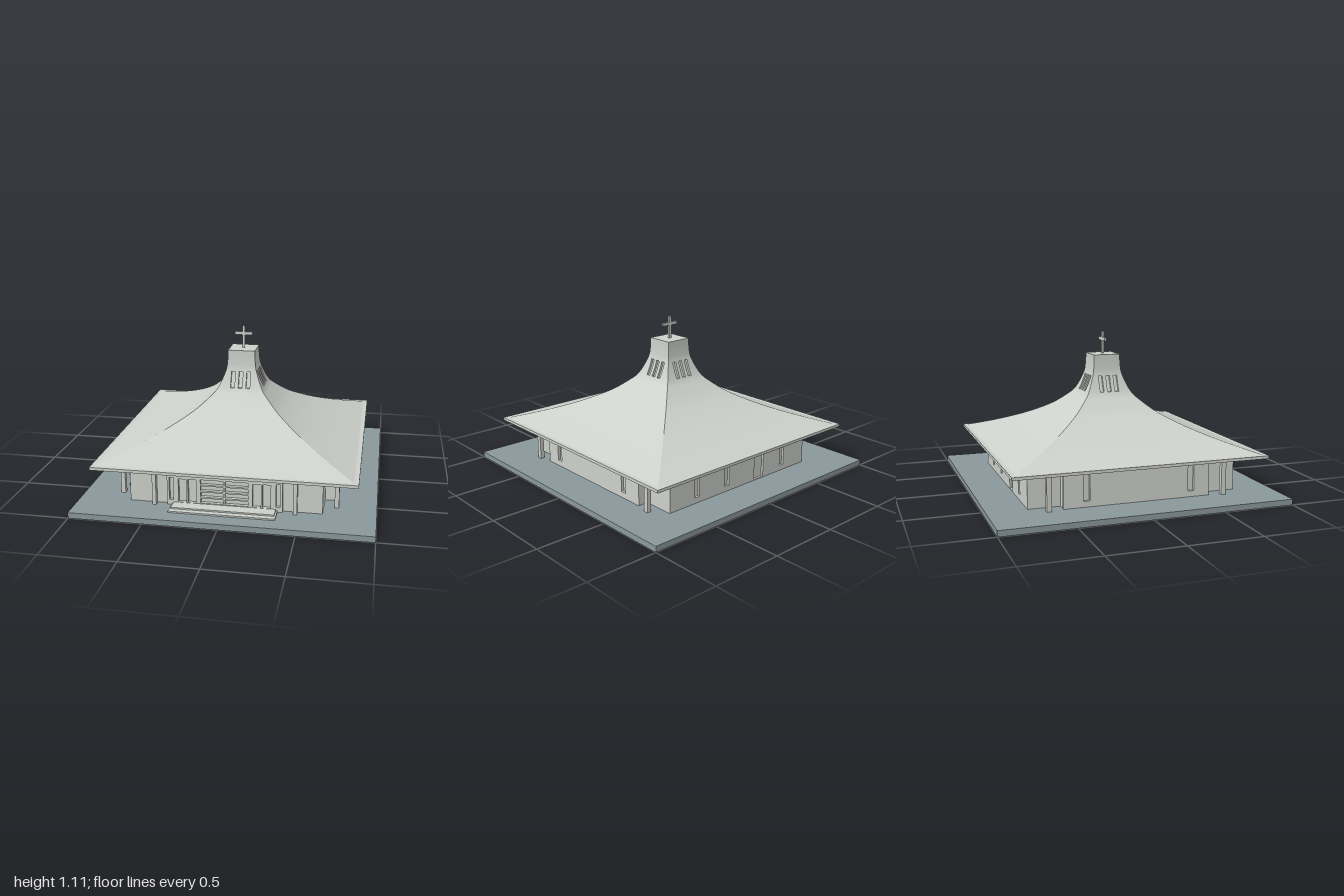
import * as THREE from 'three';

export function createModel() {
  const model = new THREE.Group();
  const plaster = new THREE.MeshStandardMaterial({ color: 0xcdd0cb, side: THREE.DoubleSide });
  plaster.name = 'pale plaster';
  const paving = new THREE.MeshStandardMaterial({ color: 0x8b989c });
  paving.name = 'blue grey paving';

  function add(name, geometry, material = plaster, parent = model) {
    const mesh = new THREE.Mesh(geometry, material);
    mesh.name = name;
    parent.add(mesh);
    return mesh;
  }
  // Box given by its two opposite corners
  function box(name, x0, x1, y0, y1, z0, z1, material) {
    const g = new THREE.BoxGeometry(x1 - x0, y1 - y0, z1 - z0);
    g.translate((x0 + x1) / 2, (y0 + y1) / 2, (z0 + z1) / 2);
    return add(name, g, material);
  }
  const trace = (path, x0, x1, y0, y1) =>
    path.moveTo(x0, y0).lineTo(x1, y0).lineTo(x1, y1).lineTo(x0, y1).closePath();
  // Upright wall sheet with rectangular openings [x0, x1, y0, y1]
  function wallSheet(name, halfWidth, y0, y1, depth, openings) {
    const shape = new THREE.Shape();
    trace(shape, -halfWidth, halfWidth, y0, y1);
    for (const o of openings) {
      const hole = new THREE.Path();
      trace(hole, ...o);
      shape.holes.push(hole);
    }
    return add(name, new THREE.ExtrudeGeometry(shape, { depth, bevelEnabled: false }));
  }

  // Ground slab and wall cores
  box('groundSlab', -1, 1, 0, 0.04, -1, 1, paving);
  box('mainWalls', -0.65, 0.65, 0.04, 0.3, -0.715, 0.735);
  box('sideBayCore', -0.705, 0.705, 0.04, 0.3, -0.51, 0.51);

  // Side bays with narrow recessed windows
  for (const s of [-1, 1]) {
    const bay = wallSheet('sideBayWall', 0.513, 0.04, 0.3, 0.02,
      [-0.38, 0.355].map((c) => [-s * c - 0.022 - 0, -s * c + 0.022, 0.08, 0.26])
        .map(([a, b, c, d]) => [-b, -a, c, d]).map(([a, b, c, d]) => [a, b, c, d]));
    bay.rotation.y = s * Math.PI / 2;
    bay.position.x = s * 0.705;
  }

  // Back wall with windows and a door
  const back = wallSheet('backWall', 0.65, 0.04, 0.3, 0.016, [
    [-0.43, -0.39, 0.08, 0.26], [-0.155, -0.115, 0.08, 0.26],
    [0.135, 0.225, 0.045, 0.24], [0.4, 0.44, 0.08, 0.26]]);
  back.rotation.y = Math.PI;
  back.position.z = -0.715;

  // Free-standing corner columns under the eaves
  for (const x of [-0.735, 0.735]) {
    for (const z of [-0.612, 0.612]) {
      box('cornerColumn', x - 0.015, x + 0.015, 0.04, 0.3, z - 0.017, z + 0.017);
    }
  }

  // Entrance front: slits, paired windows and panelled double doors
  const openings = [];
  for (const s of [-1, 1]) {
    const opening = (a, b, y0, y1) => openings.push([Math.min(s * a, s * b), Math.max(s * a, s * b), y0, y1]);
    opening(0.345, 0.373, 0.075, 0.235);
    opening(0.255, 0.31, 0.062, 0.228);
    opening(0.19, 0.245, 0.062, 0.228);
    for (let i = 0; i < 4; i++) opening(0.006, 0.16, 0.066 + i * 0.044, 0.1 + i * 0.044);
  }
  wallSheet('entranceFront', 0.388, 0.04, 0.262, 0.025, openings).position.z = 0.735;
  box('porchBeam', -0.5, 0.5, 0.262, 0.3, 0.735, 0.78);
  for (const s of [-1, 1]) {
    box('porchColumn', s * 0.473 - 0.013, s * 0.473 + 0.013, 0.04, 0.262, 0.745, 0.78);
  }
  box('lowerStep', -0.355, 0.355, 0.04, 0.05, 0.735, 0.885);
  box('upperStep', -0.345, 0.345, 0.05, 0.06, 0.735, 0.845);

  // Eaves slab and tower cap
  box('eavesSlab', -0.88, 0.88, 0.3, 0.32, -0.88, 0.88);
  box('towerCap', -0.096, 0.096, 0.944, 0.95, -0.096, 0.096);

  // Four sweeping roof faces, each with three recessed slots near the top
  const slotBottom = 0.69, slotTop = 0.8, slotDepth = 0.018, slotHalf = 0.014;
  const slotCentres = [-0.055, 0, 0.055];
  const profile = new THREE.SplineCurve([
    [0.85, 0.32], [0.66, 0.384], [0.47, 0.462], [0.31, 0.549], [0.21, 0.63],
    [0.157, slotBottom], [0.111, slotTop], [0.099, 0.87], [0.096, 0.95],
  ].map((p) => new THREE.Vector2(...p))).getPoints(48);

  function roofFaceGeometry() {
    const positions = [], normals = [];
    const slopes = profile.map((p, i) => {
      const a = profile[Math.max(i - 1, 0)], b = profile[Math.min(i + 1, profile.length - 1)];
      return new THREE.Vector3(0, a.x - b.x, b.y - a.y).normalize();
    });
    const V = (x, y, z) => new THREE.Vector3(x, y, z);
    function quad(c, n) {
      const flat = c[1].clone().sub(c[0]).cross(c[2].clone().sub(c[0])).normalize();
      for (const k of [0, 1, 2, 0, 2, 3]) {
        positions.push(...c[k].toArray());
        normals.push(...(n ? n[k] : flat).toArray());
      }
    }
    for (let i = 0; i < profile.length - 1; i++) {
      const { x: w0, y: y0 } = profile[i], { x: w1, y: y1 } = profile[i + 1];
      const n = [slopes[i], slopes[i], slopes[i + 1], slopes[i + 1]];
      const strip = (a0, b0, a1, b1, inset) => quad([
        V(a0, y0, w0 - inset), V(b0, y0, w0 - inset), V(b1, y1, w1 - inset), V(a1, y1, w1 - inset)], n);
      const inSlots = y0 > slotBottom - 1e-4 && y1 < slotTop + 1e-4;
      if (!inSlots) {
        strip(-w0, w0, -w1, w1, 0);
        continue;
      }
      let left0 = -w0, left1 = -w1;
      for (const c of slotCentres) {
        const a = c - slotHalf, b = c + slotHalf;
        strip(left0, a, left1, a, 0);
        strip(a, b, a, b, slotDepth);
        // Slot cheeks
        quad([V(a, y0, w0), V(a, y1, w1), V(a, y1, w1 - slotDepth), V(a, y0, w0 - slotDepth)].reverse());
        quad([V(b, y0, w0), V(b, y1, w1), V(b, y1, w1 - slotDepth), V(b, y0, w0 - slotDepth)]);
        // Sill and lintel
        if (y0 < slotBottom + 1e-4) {
          quad([V(a, y0, w0), V(b, y0, w0), V(b, y0, w0 - slotDepth), V(a, y0, w0 - slotDepth)]);
        }
        if (y1 > slotTop - 1e-4) {
          quad([V(a, y1, w1 - slotDepth), V(b, y1, w1 - slotDepth), V(b, y1, w1), V(a, y1, w1)]);
        }
        left0 = left1 = b;
      }
      strip(left0, w0, left1, w1, 0);
    }
    const g = new THREE.BufferGeometry();
    g.setAttribute('position', new THREE.Float32BufferAttribute(positions, 3));
    g.setAttribute('normal', new THREE.Float32BufferAttribute(normals, 3));
    return g;
  }
  const roof = new THREE.Group();
  roof.name = 'roof';
  model.add(roof);
  const face = roofFaceGeometry();
  for (let i = 0; i < 4; i++) add('roofFace', face, plaster, roof).rotation.y = i * Math.PI / 2;

  // Cross on the tower
  box('crossPost', -0.009, 0.009, 0.95, 1.11, -0.008, 0.008);
  box('crossArm', -0.063, 0.063, 1.044, 1.066, -0.008, 0.008);

  return model;
}
